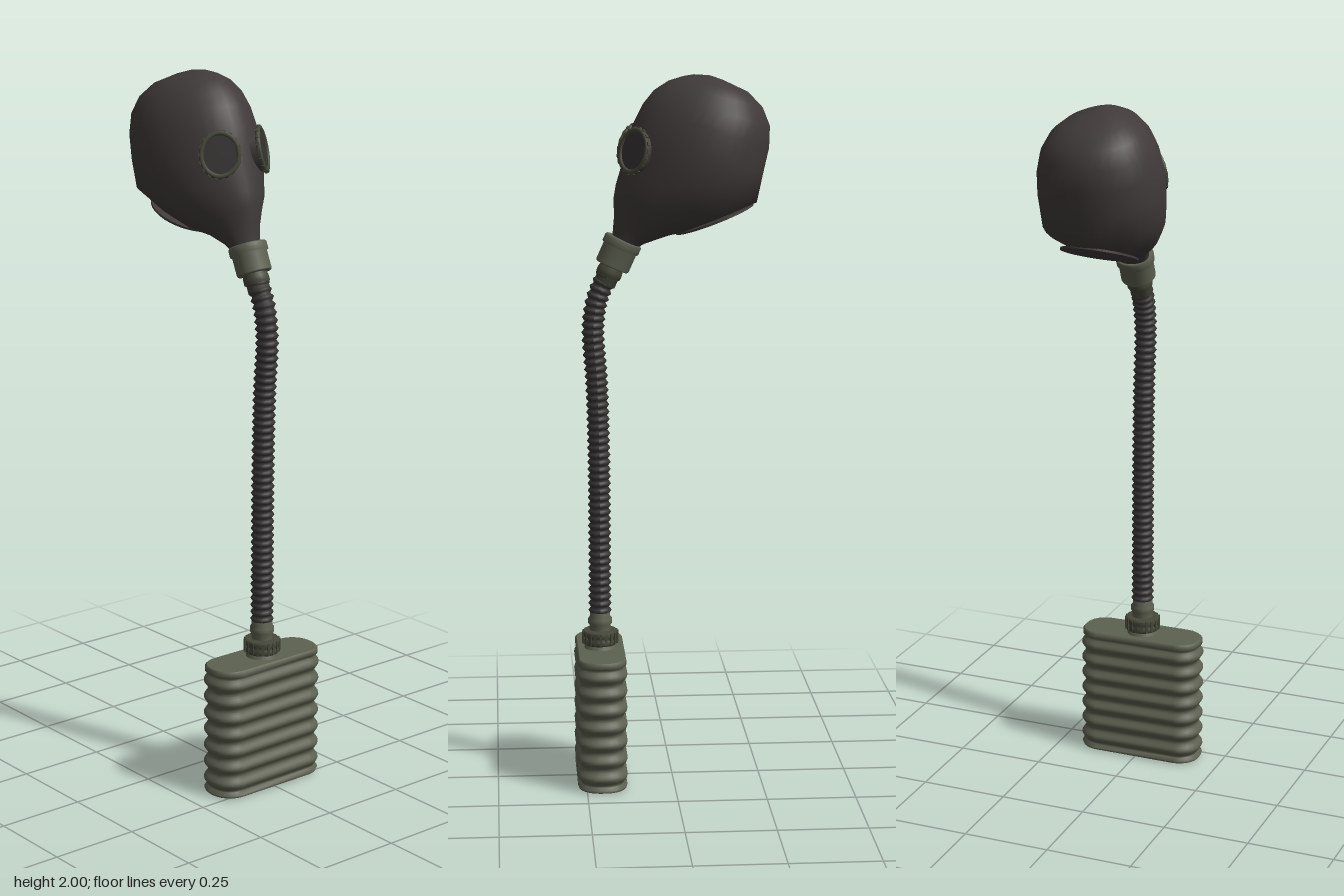
import * as THREE from 'three';

const mat = (name, color, side = THREE.FrontSide) => {
  const m = new THREE.MeshStandardMaterial({ color, side });
  m.name = name;
  return m;
};

// Skin a list of closed rings (bottom to top); optional flat caps with their own vertices
function loft(rings, capBottom = false, capTop = false) {
  const n = rings[0].length, pos = [], idx = [];
  rings.forEach(r => r.forEach(p => pos.push(...p)));
  for (let i = 0; i < rings.length - 1; i++) {
    for (let j = 0; j < n; j++) {
      const k = (j + 1) % n, a = i * n + j, b = i * n + k;
      idx.push(a, b, b + n, a, b + n, a + n);
    }
  }
  const cap = (ring, up) => {
    const start = pos.length / 3;
    const mid = [0, 1, 2].map(c => ring.reduce((s, p) => s + p[c], 0) / n);
    pos.push(...mid);
    ring.forEach(p => pos.push(...p));
    for (let j = 0; j < n; j++) {
      const a = start + 1 + j, b = start + 1 + (j + 1) % n;
      idx.push(start, up ? a : b, up ? b : a);
    }
  };
  if (capBottom) cap(rings[0], false);
  if (capTop) cap(rings[rings.length - 1], true);
  const g = new THREE.BufferGeometry();
  g.setAttribute('position', new THREE.Float32BufferAttribute(pos, 3));
  g.setIndex(idx);
  g.computeVertexNormals();
  return g;
}

// Rounded rectangle ring at height y
function roundRect(hw, hd, r, y) {
  const pts = [], steps = 6;
  for (let q = 0; q < 4; q++) {
    for (let s = 0; s <= steps; s++) {
      const t = (q + s / steps) * Math.PI / 2;
      const sx = q < 2 ? 1 : -1, sz = q === 0 || q === 3 ? 1 : -1;
      pts.push([sx * (hw - r) + r * Math.sin(t), y, sz * (hd - r) + r * Math.cos(t)]);
    }
  }
  return pts;
}

const lathe = (pts, seg = 24) => new THREE.LatheGeometry(pts.map(p => new THREE.Vector2(...p)), seg);

export function createModel() {
  const root = new THREE.Group();
  const rubber = mat('dark rubber', 0x403a3a);
  const hoseMat = mat('hose rubber', 0x383434);
  const olive = mat('olive metal', 0x5d6150, THREE.DoubleSide);
  const darkOlive = mat('dark olive metal', 0x454839, THREE.DoubleSide);
  const glass = mat('dark lens', 0x353131);
  const black = mat('black plug', 0x1c1b1a);
  const add = (parent, name, geo, material, x = 0, y = 0, z = 0) => {
    const m = new THREE.Mesh(geo, material);
    m.name = name;
    m.position.set(x, y, z);
    parent.add(m);
    return m;
  };

  // Hood: tilted sections [front z, front y, back z, back y, half width]
  const sections = [
    [0.165, 1.56, 0.105, 1.52, 0.042], [0.16, 1.615, 0.078, 1.535, 0.052],
    [0.162, 1.66, 0.02, 1.555, 0.075], [0.155, 1.70, -0.04, 1.565, 0.108],
    [0.14, 1.75, -0.13, 1.60, 0.142], [0.125, 1.81, -0.235, 1.65, 0.165],
    [0.108, 1.865, -0.252, 1.73, 0.169], [0.08, 1.92, -0.268, 1.80, 0.162],
    [0.05, 1.957, -0.27, 1.86, 0.147], [0.01, 1.983, -0.25, 1.91, 0.122],
    [-0.03, 1.995, -0.21, 1.952, 0.086], [-0.06, 2.0, -0.14, 1.985, 0.04],
    [-0.095, 1.998, -0.105, 1.997, 0.003],
  ];
  const neckY = z => 1.563 + (-0.01 - z) * 0.385; // plane of the neck opening
  const hood = sections.map(([fz, fy, bz, by, w]) => Array.from({ length: 36 }, (_, j) => {
    const t = j / 36 * Math.PI * 2, c = Math.cos(t);
    const z = (fz + bz) / 2 + (fz - bz) / 2 * c;
    const y = (fy + by) / 2 + (fy - by) / 2 * c;
    return [w * Math.sin(t) * (1 - 0.2 * c), z < -0.01 ? Math.max(y, neckY(z)) : y, z];
  }));
  add(root, 'hood', loft(hood, true, true), rubber);

  // Flat oval closing the neck
  const neck = add(root, 'neckOpening', new THREE.CylinderGeometry(0.105, 0.105, 0.006, 32), rubber,
    0, neckY(-0.118), -0.118);
  neck.scale.z = 1.1;
  neck.rotation.x = Math.atan(0.385);

  // Eyepieces: rubber socket, toothed rim and lens
  for (const s of [1, -1]) {
    const eye = new THREE.Group();
    eye.name = s > 0 ? 'leftEyepiece' : 'rightEyepiece';
    eye.position.set(s * 0.072, 1.797, 0.106);
    eye.rotation.order = 'YXZ';
    eye.rotation.set(-0.2, s * 0.7, 0);
    eye.scale.set(0.92, 1.06, 1);
    const socket = add(eye, 'eyeSocket', new THREE.CylinderGeometry(0.056, 0.062, 0.05, 28), rubber, 0, 0, -0.022);
    socket.rotation.x = Math.PI / 2;
    add(eye, 'eyeRim', new THREE.TorusGeometry(0.055, 0.007, 8, 28), darkOlive, 0, 0, 0.004);
    const lens = add(eye, 'lens', new THREE.CylinderGeometry(0.05, 0.05, 0.006, 28), glass, 0, 0, 0.003);
    lens.rotation.x = Math.PI / 2;
    for (let i = 0; i < 18; i++) {
      const a = i / 18 * Math.PI * 2;
      const tooth = add(eye, 'rimTooth', new THREE.BoxGeometry(0.008, 0.009, 0.008), darkOlive,
        Math.cos(a) * 0.059, Math.sin(a) * 0.059, 0.004);
      tooth.rotation.z = a;
    }
    root.add(eye);
  }

  // Snout collar, pointing down and forward
  const collar = new THREE.Group();
  collar.name = 'snoutCollar';
  collar.position.set(0, 1.465, 0.17);
  collar.rotation.x = -0.42;
  add(collar, 'collarRing', lathe([[0, 0.008], [0.046, 0.008], [0.049, 0.012], [0.049, 0.062],
    [0.054, 0.066], [0.054, 0.086], [0.05, 0.09], [0, 0.09]]), olive);
  add(collar, 'collarNeck', lathe([[0.027, -0.045], [0.031, -0.045], [0.031, -0.022], [0.036, -0.018],
    [0.036, -0.004], [0.032, 0.01]]), darkOlive);
  root.add(collar);

  // Corrugated hose: tube rings alternately widened and narrowed
  const path = new THREE.CatmullRomCurve3([[0.48, 0.205], [0.7, 0.205], [0.95, 0.206], [1.15, 0.211],
    [1.3, 0.22], [1.38, 0.209], [1.455, 0.178]].map(([y, z]) => new THREE.Vector3(0, y, z)));
  const folds = 48, radial = 18;
  const tube = new THREE.TubeGeometry(path, folds * 4, 0.029, radial);
  const p = tube.attributes.position, v = new THREE.Vector3();
  for (let i = 0; i <= folds * 4; i++) {
    const c = path.getPointAt(i / (folds * 4));
    const k = 1 - 0.13 * Math.cos(i * Math.PI / 2);
    for (let j = 0; j <= radial; j++) {
      const n = i * (radial + 1) + j;
      v.fromBufferAttribute(p, n).sub(c).multiplyScalar(k).add(c);
      p.setXYZ(n, v.x, v.y, v.z);
    }
  }
  tube.computeVertexNormals();
  add(root, 'hose', tube, hoseMat);

  // Filter canister with wavy ribbed walls
  const canister = new THREE.Group();
  canister.name = 'canister';
  canister.position.z = 0.205;
  const walls = [roundRect(0.182, 0.067, 0.06, 0.004), roundRect(0.185, 0.07, 0.062, 0.012)];
  const ribs = 7, steps = 8;
  for (let i = 0; i <= ribs * steps; i++) {
    const d = -0.006 - 0.006 * Math.cos(i / steps * Math.PI * 2);
    walls.push(roundRect(0.186 + d, 0.071 + d, 0.062 + d, 0.018 + i / (ribs * steps) * 0.342));
  }
  walls.push(roundRect(0.183, 0.068, 0.06, 0.364), roundRect(0.183, 0.068, 0.06, 0.376),
    roundRect(0.178, 0.063, 0.056, 0.381));
  add(canister, 'canisterBody', loft(walls, true, true), olive);

  // Bottom inlet
  add(canister, 'inletRim', new THREE.CylinderGeometry(0.038, 0.038, 0.004, 24), darkOlive, 0, 0.003, 0);
  add(canister, 'inletPlug', new THREE.CylinderGeometry(0.026, 0.026, 0.004, 24), black, 0, 0.002, 0);

  // Top outlet: knurled nut and hose fitting
  add(canister, 'outletBase', new THREE.CylinderGeometry(0.04, 0.046, 0.014, 24), olive, 0, 0.387, 0);
  add(canister, 'outletNut', lathe([[0, 0.392], [0.046, 0.392], [0.05, 0.397], [0.05, 0.408], [0.045, 0.412],
    [0.05, 0.416], [0.05, 0.428], [0.046, 0.433], [0, 0.433]]), darkOlive);
  for (let i = 0; i < 20; i++) {
    const a = i / 20 * Math.PI * 2;
    const ridge = add(canister, 'nutRidge', new THREE.BoxGeometry(0.006, 0.034, 0.005), darkOlive,
      Math.sin(a) * 0.0495, 0.4125, Math.cos(a) * 0.0495);
    ridge.rotation.y = a;
  }
  add(canister, 'hoseFitting', lathe([[0.03, 0.43], [0.03, 0.448], [0.034, 0.452], [0.034, 0.466],
    [0.029, 0.472], [0.029, 0.492], [0.024, 0.494]]), olive);
  root.add(canister);

  return root;
}
